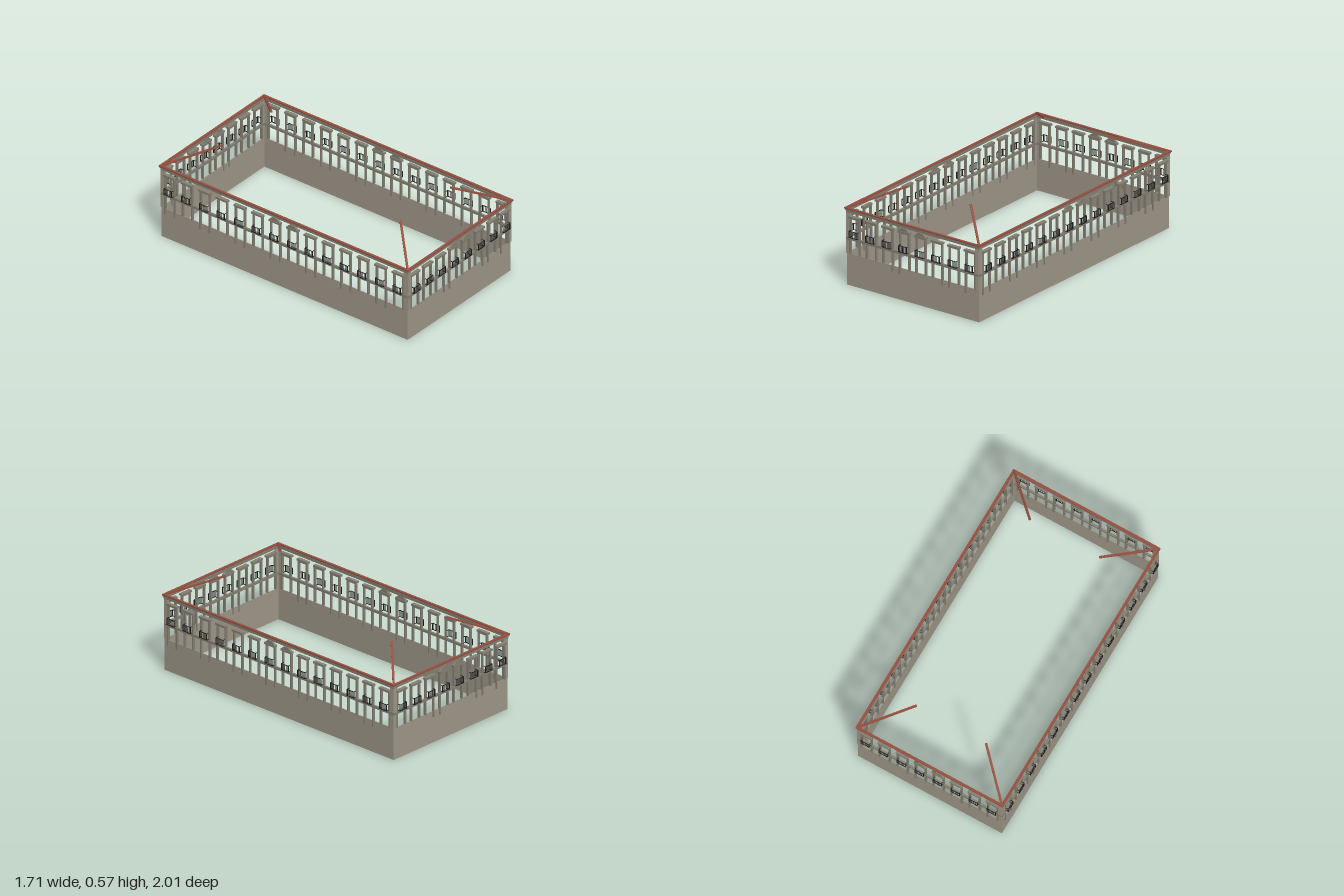
import * as THREE from 'three';

const mat = (name, color) => Object.assign(new THREE.MeshStandardMaterial({ color }), { name });

export function createModel() {
  const stone = mat('stone', 0xa0988a);
  const trim = mat('trim stone', 0x858073);
  const red = mat('roof red', 0x96503f);
  const iron = mat('black iron', 0x1c1c1c);

  const WIDTH = 0.926, LENGTH = 1.75; // wall footprint
  const BASE = 0.192, BAND = 0.275, SILL = 0.29, HEAD = 0.408;

  const box = (parent, name, m, w, h, d, x, y, z) => {
    const mesh = new THREE.Mesh(new THREE.BoxGeometry(w, h, d), m);
    mesh.name = name;
    mesh.position.set(x, y, z);
    parent.add(mesh);
    return mesh;
  };
  // upright or slab given by its bottom and top heights
  const span = (parent, name, m, w, y0, y1, d, x, z) =>
    box(parent, name, m, w, y1 - y0, d, x, (y0 + y1) / 2, z);

  // gabled hood ornament
  const gable = new THREE.Shape();
  gable.moveTo(-0.038, 0);
  gable.lineTo(0.038, 0);
  gable.lineTo(0.014, 0.02);
  gable.lineTo(-0.014, 0.02);
  gable.closePath();
  const gableGeo = new THREE.ExtrudeGeometry(gable, { depth: 0.014, bevelEnabled: false });

  // small iron balcony, three sided
  function balcony() {
    const g = new THREE.Group();
    g.name = 'balcony';
    const w = 0.054, d = 0.02, y0 = 0.296, y1 = 0.334;
    for (const y of [y0, y1]) {
      box(g, 'railFront', iron, w, 0.003, 0.003, 0, y, d);
      for (const s of [-1, 1]) box(g, 'railSide', iron, 0.003, 0.003, d, s * w / 2, y, d / 2);
    }
    for (let i = 0; i <= 6; i++) {
      const t = i === 0 || i === 6 ? 0.004 : 0.002;
      span(g, 'baluster', iron, t, y0, y1, t, -w / 2 + (i * w) / 6, d);
    }
    return g;
  }

  // one bay: lower opening, upper opening, hood and balcony
  function bay(pediment, longLeft, longRight) {
    const g = new THREE.Group();
    g.name = 'windowBay';
    for (const s of [-1, 1]) {
      const low = s < 0 ? longLeft : longRight;
      span(g, 'lowerJamb', trim, 0.009, low ? 0.157 : BASE, BAND, 0.014, s * 0.033, 0);
      span(g, 'upperJamb', trim, 0.009, SILL, HEAD, 0.014, s * 0.031, 0);
    }
    span(g, 'lintel', trim, 0.07, HEAD - 0.006, HEAD, 0.012, 0, 0);
    span(g, 'hood', trim, 0.08, HEAD, 0.42, 0.022, 0, 0.003);
    if (pediment) {
      const mesh = new THREE.Mesh(gableGeo, trim);
      mesh.name = 'pediment';
      mesh.position.set(0, 0.42, -0.003);
      g.add(mesh);
    }
    g.add(balcony());
    return g;
  }

  // a facade: x along the wall, z outward
  function facade(name, len, bays, isLong) {
    const g = new THREE.Group();
    g.name = name;
    span(g, 'baseWall', stone, len, 0, BASE, 0.004, 0, -0.002);
    span(g, 'floorBand', trim, len, BAND, SILL, 0.012, 0, 0);
    span(g, 'cornice', trim, len + 0.008, 0.438, 0.449, 0.008, 0, 0);
    span(g, 'upperCornice', trim, len + 0.014, 0.449, 0.457, 0.014, 0, 0.001);
    span(g, 'gutter', red, len + 0.02, 0.457, 0.465, 0.015, 0, 0.003);
    for (const s of [-1, 1]) {
      span(g, 'cornerPilaster', stone, 0.026, BASE, 0.438, 0.008, s * (len / 2 - 0.013), 0);
    }
    const step = len / bays;
    for (let i = 0; i < bays; i++) {
      const left = isLong ? i % 2 === 0 : [3, 6, 7].includes(i);
      const right = isLong ? i % 2 === 0 : [2, 5].includes(i);
      const b = bay(i === bays / 2 - 1 || i === bays / 2, left, right);
      b.position.x = (i - (bays - 1) / 2) * step;
      g.add(b);
    }
    return g;
  }

  const house = new THREE.Group();
  house.name = 'building';
  for (let k = 0; k < 4; k++) {
    const isLong = k % 2 === 1;
    const side = facade(isLong ? 'longFacade' : 'shortFacade',
      isLong ? LENGTH : WIDTH, isLong ? 14 : 8, isLong);
    const angle = (k * Math.PI) / 2;
    const out = (isLong ? WIDTH : LENGTH) / 2;
    side.rotation.y = angle;
    side.position.set(Math.sin(angle) * out, 0, Math.cos(angle) * out);
    house.add(side);
  }

  // hip ridges rising inward from the corners
  for (const sx of [-1, 1]) for (const sz of [-1, 1]) {
    const a = new THREE.Vector3(sx * WIDTH / 2, 0.462, sz * LENGTH / 2);
    const b = a.clone().add(new THREE.Vector3(-sx * 0.24, 0.109, -sz * 0.24));
    const ridge = box(house, 'hipRidge', red, 0.013, 0.008, a.distanceTo(b), 0, 0, 0);
    ridge.position.copy(a).add(b).multiplyScalar(0.5);
    ridge.lookAt(b);
  }

  house.rotation.y = Math.PI / 6;
  const model = new THREE.Group();
  model.name = 'model';
  model.add(house);
  return model;
}
